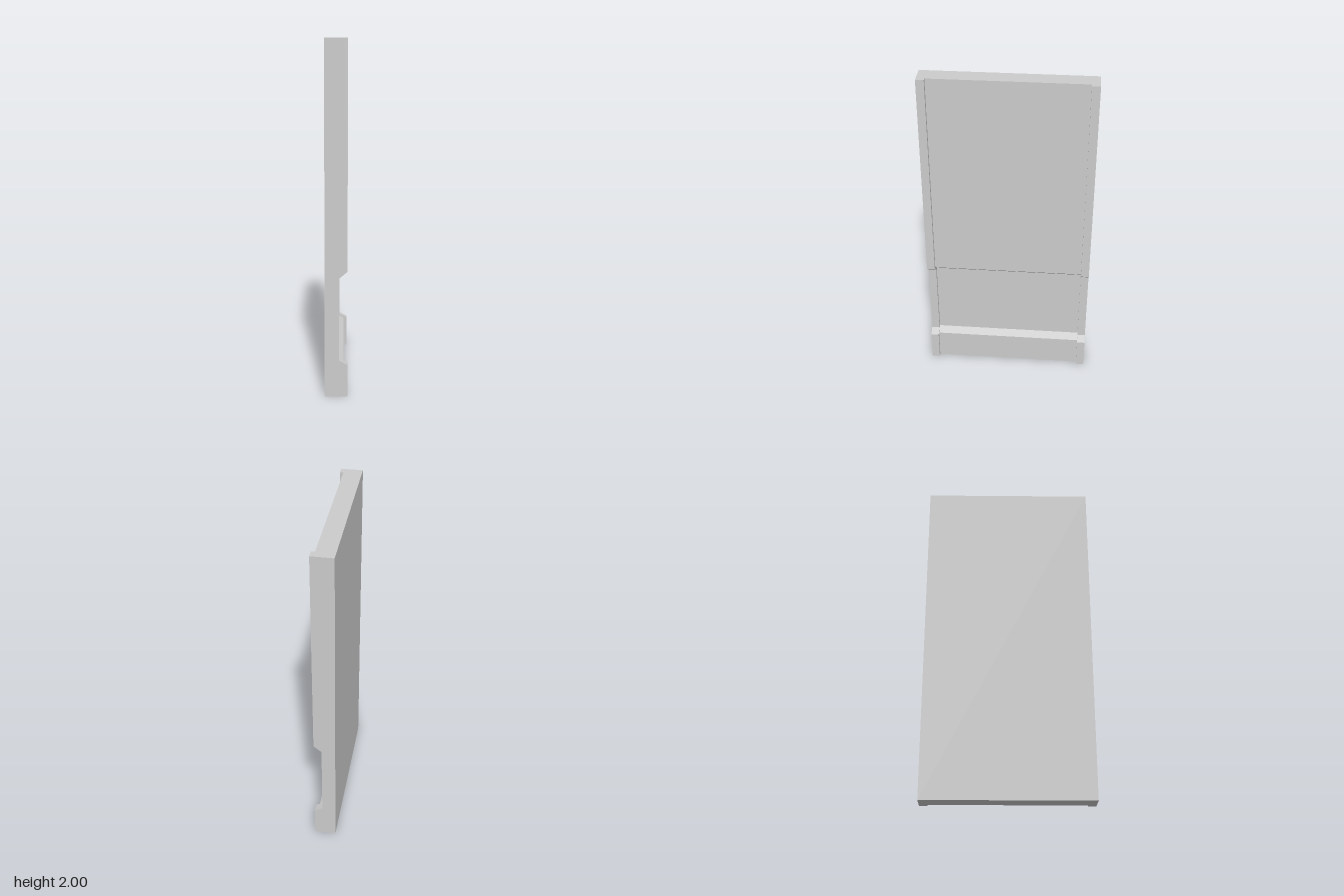
import * as THREE from 'three';

const BACK = -0.064, RAIL_DEPTH = 0.021, RAIL_WIDTH = 0.048;

// Stepped front face as [x, y], bottom to top: base, bevel, recess, bevel, upper face
const FACE = [[0.064, 0], [0.064, 0.187], [0.017, 0.211], [0.017, 0.685], [0.064, 0.724], [0.064, 2]];
const PANEL_FACE = FACE.map(([x, y]) => [x - RAIL_DEPTH, y]);

export function createModel() {
  const group = new THREE.Group();
  const material = new THREE.MeshStandardMaterial({ color: 0xcccccc, flatShading: true });

  // Extrudes an x-y outline along z, centred on the given z
  function addProfile(name, points, width, z) {
    const shape = new THREE.Shape(points.map(([x, y]) => new THREE.Vector2(x, y)));
    const geometry = new THREE.ExtrudeGeometry(shape, { depth: width, bevelEnabled: false });
    geometry.translate(0, 0, z - width / 2);
    const mesh = new THREE.Mesh(geometry, material);
    mesh.name = name;
    group.add(mesh);
  }

  // Full-width wall slab with the recessed band
  addProfile('wallPanel', [[BACK, 0], ...PANEL_FACE, [BACK, 2]], 1, 0);

  // Raised edge rails following the same stepped face
  const rail = [...FACE, ...PANEL_FACE.slice().reverse()];
  for (const side of [1, -1]) {
    addProfile(side > 0 ? 'frontRail' : 'backRail', rail, RAIL_WIDTH, side * (0.5 - RAIL_WIDTH / 2));
  }
  return group;
}
